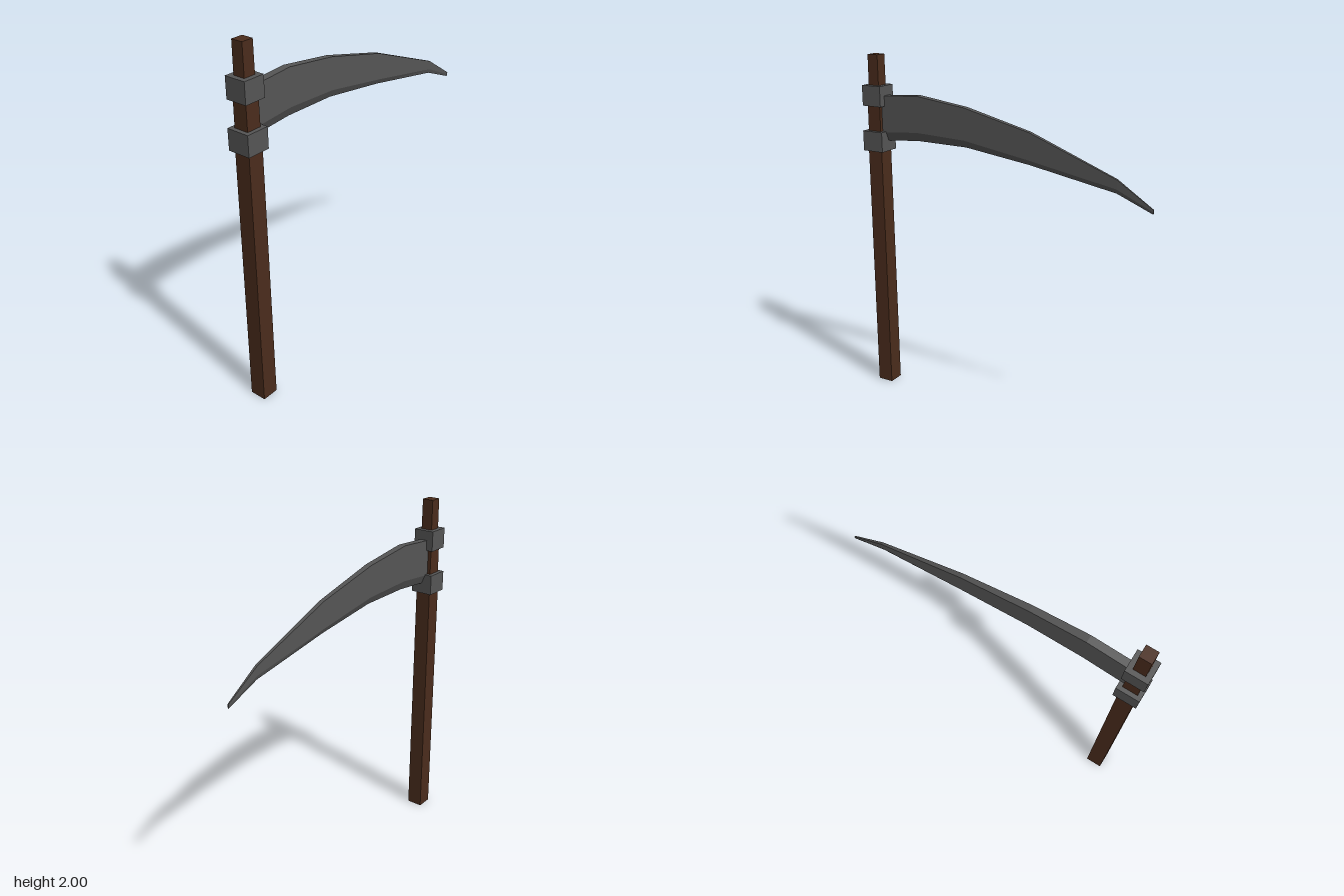
import * as THREE from 'three';

const POLE_X = -0.805;

const wood = new THREE.MeshStandardMaterial({ color: 0x4a2c1c, flatShading: true });
const metal = new THREE.MeshStandardMaterial({ color: 0x555555, flatShading: true });

// Square post standing between y0 and y1, tapering between two half widths
function squarePost(name, y0, y1, halfBottom, halfTop, material) {
  const geo = new THREE.CylinderGeometry(halfTop * Math.SQRT2, halfBottom * Math.SQRT2, y1 - y0, 4);
  geo.rotateY(Math.PI / 4);
  const mesh = new THREE.Mesh(geo, material);
  mesh.name = name;
  mesh.position.set(POLE_X, (y0 + y1) / 2, 0);
  return mesh;
}

// Curved blade: flat spine and sides, then a bevel down to a sharp lower edge
function bladeGeometry() {
  // x, spine y, bevel y, edge y, half thickness
  const stations = [
    [-0.775, 1.772, 1.565, 1.515, 0.022],
    [-0.53, 1.79, 1.585, 1.535, 0.021],
    [-0.22, 1.75, 1.572, 1.532, 0.018],
    [0.17, 1.655, 1.507, 1.48, 0.013],
    [0.665, 1.465, 1.415, 1.392, 0.007],
    [0.865, 1.335, 1.322, 1.31, 0.003],
  ];
  const positions = [];
  const index = [];
  const n = 5;
  for (const [x, spine, bevel, edge, t] of stations) {
    positions.push(x, spine, t, x, bevel, t, x, edge, 0, x, bevel, -t, x, spine, -t);
  }
  for (let i = 0; i < stations.length - 1; i++) {
    for (let j = 0; j < n; j++) {
      const a = i * n + j;
      const b = i * n + (j + 1) % n;
      index.push(a, b, a + n, b, b + n, a + n);
    }
  }
  // End caps
  const tip = (stations.length - 1) * n;
  for (let j = 1; j < n - 1; j++) {
    index.push(0, j + 1, j);
    index.push(tip, tip + j, tip + j + 1);
  }
  const geo = new THREE.BufferGeometry();
  geo.setAttribute('position', new THREE.Float32BufferAttribute(positions, 3));
  geo.setIndex(index);
  const flat = geo.toNonIndexed();
  flat.computeVertexNormals();
  return flat;
}

export function createModel() {
  const model = new THREE.Group();
  model.name = 'scythe';

  // Wooden pole in three sections, narrower above each band
  model.add(
    squarePost('poleLower', 0, 1.51, 0.047, 0.045, wood),
    squarePost('poleMiddle', 1.51, 1.77, 0.042, 0.041, wood),
    squarePost('poleTop', 1.77, 2, 0.034, 0.033, wood),
  );

  // Metal bands clamping the blade
  model.add(
    squarePost('lowerBand', 1.458, 1.572, 0.065, 0.065, metal),
    squarePost('upperBand', 1.715, 1.83, 0.061, 0.061, metal),
  );

  const blade = new THREE.Mesh(bladeGeometry(), metal);
  blade.name = 'blade';
  model.add(blade);

  return model;
}
